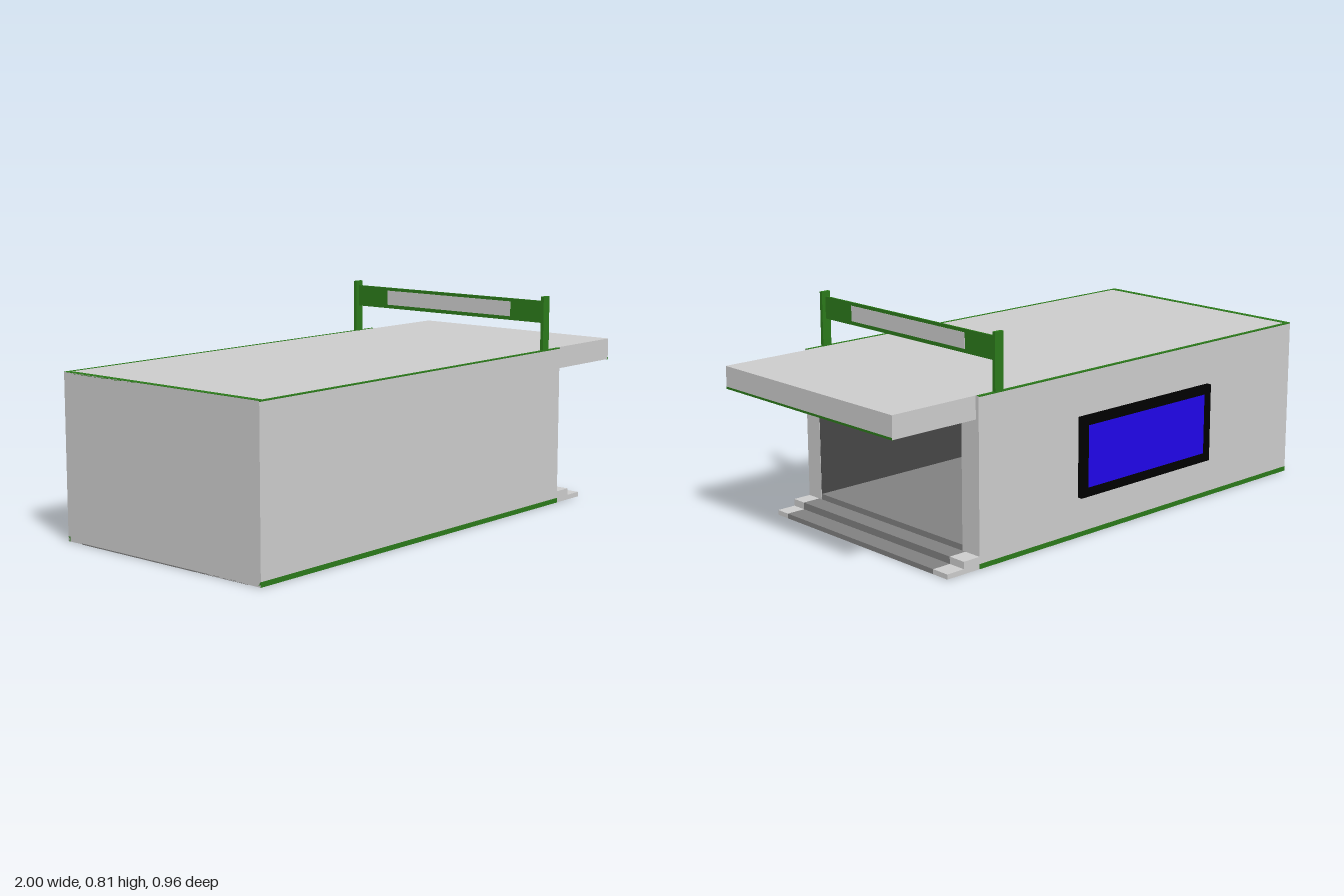
import * as THREE from 'three';

const mat = (color) => new THREE.MeshStandardMaterial({ color });
const GREY = mat(0xcccccc), FLOOR = mat(0x808080), DARK = mat(0x464646);
const GREEN = mat(0x2b791a), BLACK = mat(0x000000), BLUE = mat(0x2005e8);

export function createModel() {
  const model = new THREE.Group();

  // box given by its limits along each axis
  const box = (name, material, [x0, x1], [y0, y1], [z0, z1], parent = model) => {
    const mesh = new THREE.Mesh(new THREE.BoxGeometry(x1 - x0, y1 - y0, z1 - z0), material);
    mesh.position.set((x0 + x1) / 2, (y0 + y1) / 2, (z0 + z1) / 2);
    mesh.name = name;
    parent.add(mesh);
  };

  const X = [-1, 0.642];           // length of the body
  const ZB = -0.461, ZF = 0.479;   // outer back and front
  const IB = -0.375, IF = 0.405;   // inner back and front
  const LB = -0.39, LF = 0.42;     // dark floor slab limits

  // hollow body, open at the +x end
  box('frontWall', GREY, X, [0, 0.602], [IF, ZF]);
  box('backWall', GREY, X, [0, 0.602], [ZB, IB]);
  box('endWall', GREY, [-1, -0.94], [0, 0.602], [IB, IF]);
  box('roof', GREY, [-0.94, 0.642], [0.52, 0.602], [IB, IF]);
  box('floor', FLOOR, [-0.94, 0.641], [0.001, 0.065], [IB, IF]);
  box('underside', FLOOR, X, [-0.001, 0.003], [LB, LF]);

  // dark panels lining the room
  const lining = new THREE.Group();
  lining.name = 'interiorLining';
  model.add(lining);
  const inside = [-0.94, 0.641];
  box('liningFront', DARK, inside, [0.065, 0.52], [IF - 0.001, IF + 0.002], lining);
  box('liningBack', DARK, inside, [0.065, 0.52], [IB - 0.002, IB + 0.001], lining);
  box('liningEnd', DARK, [-0.942, -0.939], [0.065, 0.52], [IB, IF], lining);
  box('liningCeiling', DARK, inside, [0.519, 0.522], [IB, IF], lining);

  // two low steps, darker between light ends
  const steps = new THREE.Group();
  steps.name = 'entranceSteps';
  model.add(steps);
  [[[0.642, 0.713], [0, 0.044]], [[0.713, 0.787], [0, 0.018]]].forEach(([x, y]) => {
    box('stepTread', FLOOR, x, y, [LB, LF], steps);
    box('stepFrontEnd', GREY, x, y, [LF, ZF], steps);
    box('stepBackEnd', GREY, x, y, [ZB, LB], steps);
  });

  // canopy over the entrance, with a strip along its lower outer edge
  box('canopy', GREY, [0.642, 0.9995], [0.52, 0.602], [-0.447, 0.464]);
  box('canopyTrim', GREEN, [0.995, 1], [0.519, 0.527], [-0.447, 0.464]);

  // green edging along the roof and the base
  box('roofEndTrim', GREEN, [-1, -0.975], [0.599, 0.603], [ZB, ZF]);
  for (const [z0, z1] of [[ZB - 0.001, ZB + 0.011], [ZF - 0.011, ZF + 0.001]]) {
    box('roofSideTrim', GREEN, X, [0.599, 0.603], [z0, z1]);
    box('baseTrim', GREEN, X, [0, 0.018], [z0, z1]);
  }

  // sign on two posts
  const sign = new THREE.Group();
  sign.name = 'roofSign';
  model.add(sign);
  box('signFrontPost', GREEN, [0.53, 0.567], [0.602, 0.806], [0.467, 0.48], sign);
  box('signBackPost', GREEN, [0.53, 0.567], [0.602, 0.806], [-0.461, -0.448], sign);
  box('signBoard', GREEN, [0.545, 0.552], [0.705, 0.788], [-0.448, 0.467], sign);
  box('signPanel', GREY, [0.544, 0.553], [0.719, 0.776], [-0.295, 0.315], sign);

  // framed window on the back
  const rect = (Type, x0, x1, y0, y1) => new Type([
    new THREE.Vector2(x0, y0), new THREE.Vector2(x1, y0),
    new THREE.Vector2(x1, y1), new THREE.Vector2(x0, y1)]);
  const outline = rect(THREE.Shape, -0.512, 0.172, 0.148, 0.443);
  outline.holes.push(rect(THREE.Path, -0.479, 0.139, 0.181, 0.41));
  const frame = new THREE.Mesh(
    new THREE.ExtrudeGeometry(outline, { depth: 0.019, bevelEnabled: false }), BLACK);
  frame.position.z = -0.48;
  frame.name = 'windowFrame';
  model.add(frame);
  box('windowPane', BLUE, [-0.479, 0.139], [0.181, 0.41], [-0.478, ZB]);

  return model;
}
